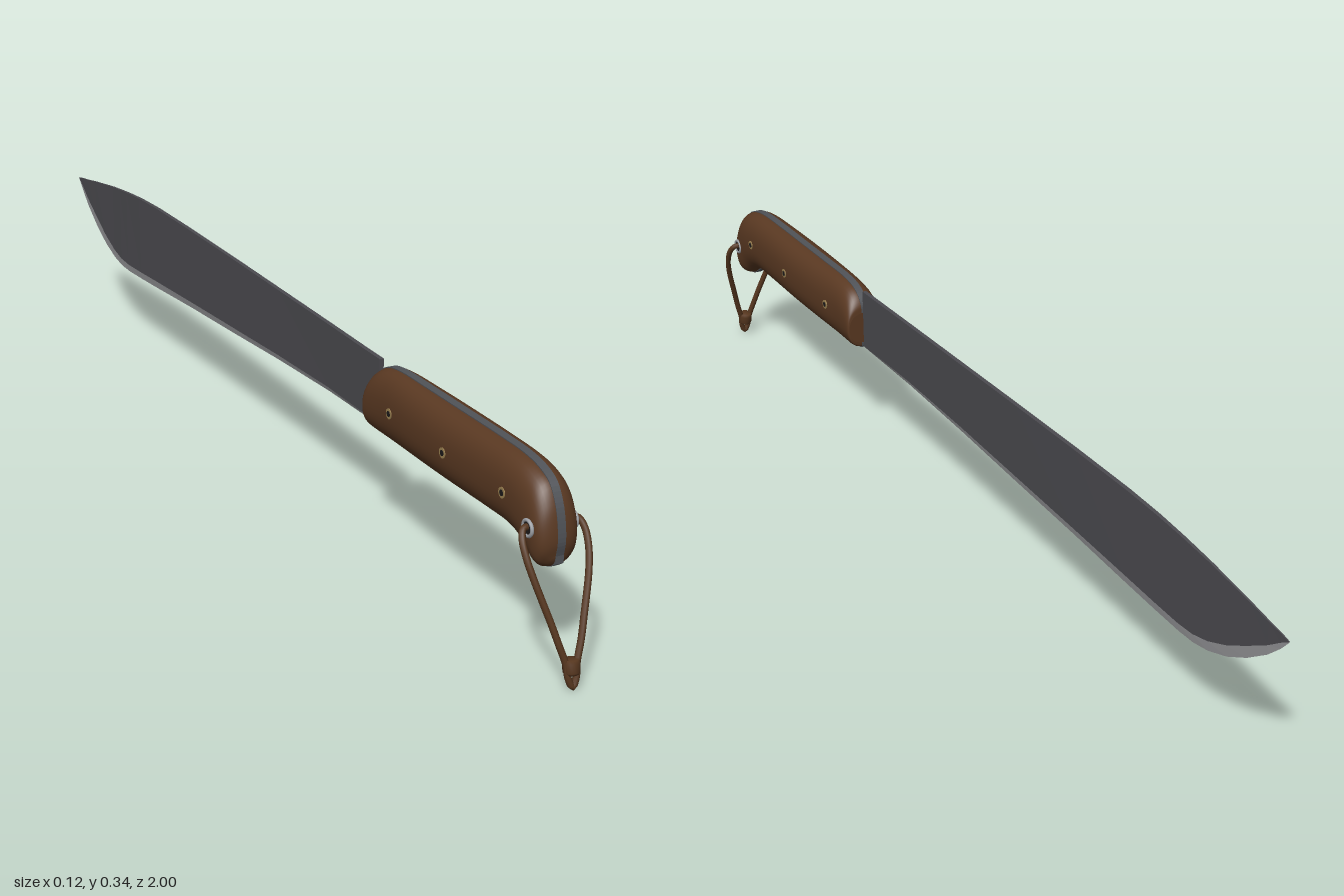
import * as THREE from 'three';

const mat = (name, color, extra = {}) => new THREE.MeshStandardMaterial({ name, color, ...extra });

export function createModel() {
  const group = new THREE.Group();
  const steel = mat('dark steel', 0x4c4b50);
  const edgeSteel = mat('ground edge', 0x98989b);
  const tangSteel = mat('tang steel', 0x505358);
  const wood = mat('brown wood', 0x5a3922);
  const cord = mat('brown cord', 0x57371f);
  const brass = mat('brass', 0x9a8050);
  const dark = mat('dark hole', 0x1c1a1a);
  const silver = mat('silver', 0xa0a3a8);

  const add = (name, geometry, material, parent = group) => {
    const mesh = new THREE.Mesh(geometry, material);
    mesh.name = name;
    parent.add(mesh);
    return mesh;
  };

  // Blade stations: z, spine y, bevel y, edge y, half thickness
  const blade = [
    [0.387, 0.330, 0.212, 0.210, 0.004], [0.31, 0.331, 0.214, 0.208, 0.004],
    [0.2, 0.333, 0.215, 0.207, 0.004], [0, 0.336, 0.209, 0.199, 0.004],
    [-0.2, 0.339, 0.200, 0.188, 0.004], [-0.4, 0.341, 0.191, 0.178, 0.004],
    [-0.56, 0.341, 0.183, 0.168, 0.0038], [-0.65, 0.338, 0.178, 0.163, 0.0035],
    [-0.72, 0.333, 0.175, 0.160, 0.003], [-0.76, 0.329, 0.177, 0.161, 0.0027],
    [-0.80, 0.325, 0.186, 0.168, 0.0023], [-0.85, 0.318, 0.206, 0.185, 0.002],
    [-0.90, 0.311, 0.233, 0.211, 0.0017], [-0.95, 0.303, 0.262, 0.245, 0.0014],
    [-0.98, 0.299, 0.283, 0.272, 0.0012], [-1, 0.295, 0.295, 0.294, 0.0008],
  ];
  const quads = (list) => {
    const p = [];
    for (const [a, b, c, d] of list) p.push(...a, ...b, ...c, ...a, ...c, ...d);
    const g = new THREE.BufferGeometry();
    g.setAttribute('position', new THREE.Float32BufferAttribute(p, 3));
    g.computeVertexNormals();
    return g;
  };
  const section = ([z, top, bevel, edge, w]) => ({
    tl: [-w, top, z], tr: [w, top, z], br: [w * 0.75, bevel, z], bl: [-w * 0.75, bevel, z], e: [0, edge, z],
  });
  const body = [], bevels = [];
  for (let i = 0; i + 1 < blade.length; i++) {
    const a = section(blade[i]), b = section(blade[i + 1]);
    body.push([a.tr, a.br, b.br, b.tr], [a.bl, a.tl, b.tl, b.bl], [a.tl, a.tr, b.tr, b.tl]);
    bevels.push([a.br, a.e, b.e, b.br], [a.e, a.bl, b.bl, b.e]);
  }
  const root = section(blade[0]);
  body.push([root.tl, root.bl, root.br, root.tr]);
  add('blade', quads(body), steel);
  add('cuttingEdge', quads(bevels), edgeSteel);

  // Handle stations: top z, top y, bottom z, bottom y, half width
  const grip = [
    [0.387, 0.285, 0.387, 0.222, 0.034], [0.389, 0.299, 0.389, 0.213, 0.037],
    [0.40, 0.315, 0.40, 0.210, 0.038], [0.42, 0.327, 0.42, 0.209, 0.038],
    [0.46, 0.334, 0.46, 0.209, 0.038], [0.55, 0.335, 0.55, 0.210, 0.042],
    [0.65, 0.335, 0.65, 0.211, 0.044], [0.78, 0.335, 0.78, 0.212, 0.042],
    [0.845, 0.333, 0.835, 0.211, 0.041], [0.885, 0.326, 0.865, 0.204, 0.041],
    [0.915, 0.312, 0.885, 0.193, 0.040], [0.933, 0.285, 0.900, 0.183, 0.039],
    [0.942, 0.255, 0.908, 0.180, 0.037], [0.945, 0.225, 0.918, 0.178, 0.030],
    [0.941, 0.202, 0.929, 0.182, 0.016],
  ];
  const topCurve = new THREE.CatmullRomCurve3(grip.map((s) => new THREE.Vector3(s[4], s[1], s[0])));
  const lowCurve = new THREE.CatmullRomCurve3(grip.map((s) => new THREE.Vector3(s[4], s[3], s[2])));
  const N = 56, R = 40;
  const tops = topCurve.getPoints(N), lows = lowCurve.getPoints(N);
  const pos = [], idx = [];
  const ring = (i) => {
    const t = tops[i], l = lows[i];
    for (let j = 0; j < R; j++) {
      const a = (j / R) * Math.PI * 2, c = Math.cos(a), s = Math.sin(a);
      const u = Math.sign(s) * Math.abs(s) ** 0.85;
      pos.push(t.x * Math.sign(c) * Math.abs(c) ** 0.85,
        (t.y + l.y) / 2 + (u * (t.y - l.y)) / 2, (t.z + l.z) / 2 + (u * (t.z - l.z)) / 2);
    }
  };
  for (let i = 0; i <= N; i++) ring(i);
  for (let i = 0; i < N; i++) {
    for (let j = 0; j < R; j++) {
      const k = (j + 1) % R, a = i * R + j, b = i * R + k;
      idx.push(a, b, b + R, a, b + R, a + R);
    }
  }
  // flat front cap and rounded butt cap
  ring(0);
  const front = (N + 1) * R, centre = front + R;
  pos.push(0, 0.2535, 0.387, 0, 0.191, 0.940);
  for (let j = 0; j < R; j++) {
    const k = (j + 1) % R;
    idx.push(centre, front + k, front + j, centre + 1, N * R + j, N * R + k);
  }
  const gripGeo = new THREE.BufferGeometry();
  gripGeo.setAttribute('position', new THREE.Float32BufferAttribute(pos, 3));
  gripGeo.setIndex(idx);
  gripGeo.computeVertexNormals();
  add('handle', gripGeo, wood);

  // Full tang showing as a stripe around the handle
  const outline = (from, other) => from.map((p, i) => {
    const d = p.clone().sub(other[i]).setX(0).normalize().multiplyScalar(0.0012);
    return new THREE.Vector2(-(p.z + d.z), p.y + d.y);
  });
  const tangShape = new THREE.Shape([
    ...outline(tops, lows), new THREE.Vector2(-0.942, 0.190), ...outline(lows, tops).reverse(),
  ]);
  const tangGeo = new THREE.ExtrudeGeometry(tangShape, { depth: 0.014, bevelEnabled: false });
  tangGeo.rotateY(Math.PI / 2).translate(-0.007, 0, 0);
  add('tang', tangGeo, tangSteel);

  // Pins running across the handle
  const pin = (name, r, half, y, z, material) =>
    add(name, new THREE.CylinderGeometry(r, r, half * 2, 20).rotateZ(Math.PI / 2).translate(0, y, z), material);
  for (const [z, w] of [[0.84, 0.0415], [0.667, 0.0443], [0.485, 0.0397]]) {
    pin('rivet', 0.009, w + 0.0006, 0.273, z, brass);
    pin('rivetCentre', 0.005, w + 0.0012, 0.273, z, dark);
  }
  pin('cordHole', 0.011, 0.0405, 0.244, 0.912, dark);
  for (const s of [-1, 1]) {
    const eyelet = new THREE.TorusGeometry(0.0125, 0.003, 8, 24).rotateY(Math.PI / 2);
    add('eyelet', eyelet.translate(s * 0.0395, 0.244, 0.912), silver);
  }

  // Wrist cord: one mirrored loop through the hole
  const side = [
    [0.035, 0.246, 0.911], [0.048, 0.245, 0.913], [0.0545, 0.232, 0.922], [0.0545, 0.208, 0.935],
    [0.048, 0.175, 0.949], [0.029, 0.110, 0.970], [0.020, 0.078, 0.979], [0.010, 0.045, 0.986],
    [0.007, 0.022, 0.990],
  ];
  const path = [
    [0, 0.246, 0.911], ...side, [0, 0.008, 0.992],
    ...side.slice().reverse().map(([x, y, z]) => [-x, y, z]),
  ].map((p) => new THREE.Vector3(...p));
  add('wristCord', new THREE.TubeGeometry(new THREE.CatmullRomCurve3(path, true), 140, 0.0055, 10, true), cord);

  // Bead gathering the cord ends
  const bead = add('cordBead', new THREE.LatheGeometry([
    [0, -0.012], [0.011, -0.012], [0.0135, -0.008], [0.014, 0.007], [0.012, 0.012], [0, 0.012],
  ].map(([x, y]) => new THREE.Vector2(x, y)), 20), cord);
  bead.position.set(0, 0.04, 0.986);
  bead.rotation.x = -0.15;

  return group;
}
